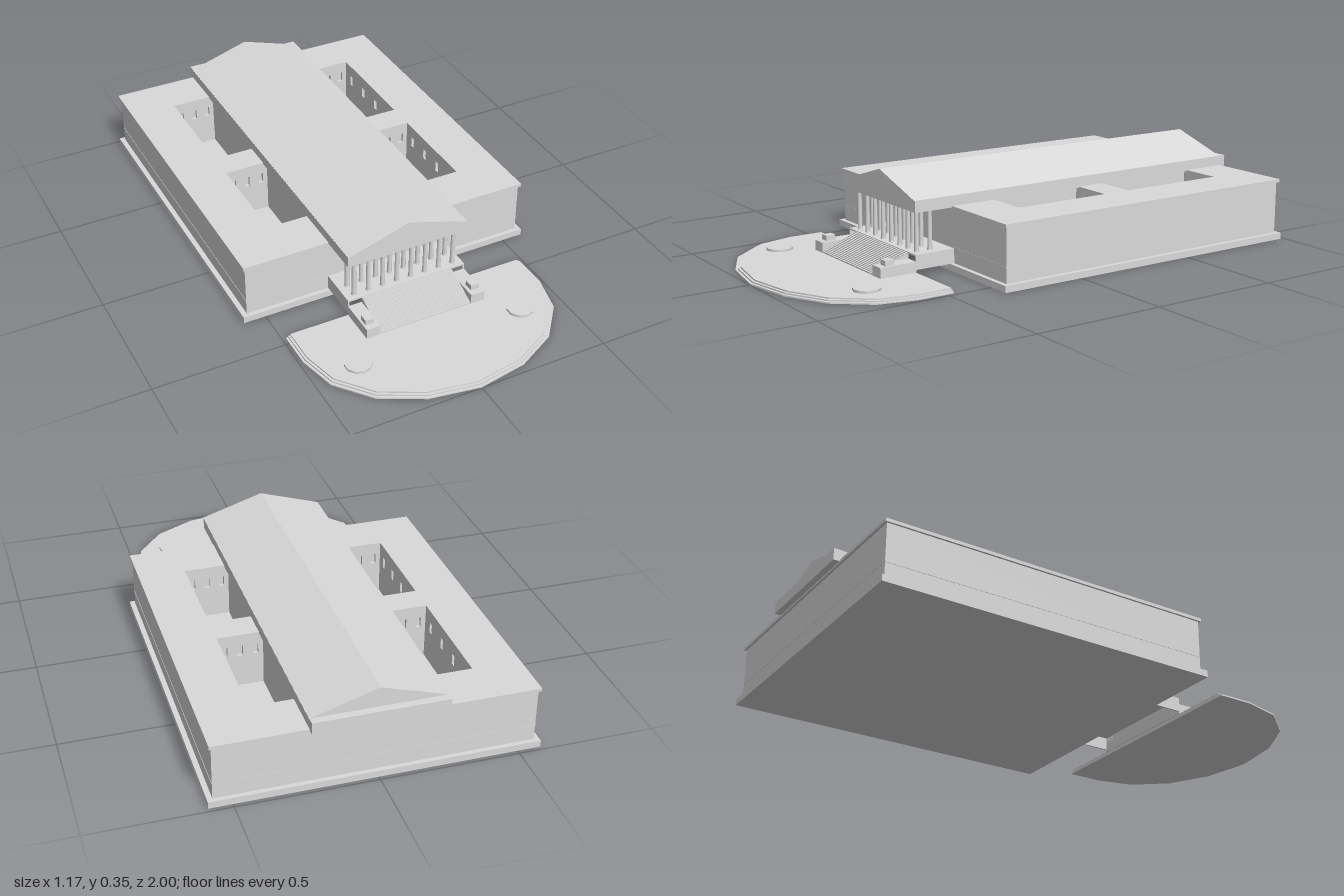
import * as THREE from 'three';

const stone = new THREE.MeshStandardMaterial({ color: 0xdadada });
stone.name = 'paleStone';

export function createModel() {
  const model = new THREE.Group();
  model.name = 'templeMuseum';

  const add = (name, geometry) => {
    const mesh = new THREE.Mesh(geometry, stone);
    mesh.name = name;
    model.add(mesh);
    return mesh;
  };
  // Box given by its limits on each axis
  const box = (name, x0, x1, y0, y1, z0, z1) => {
    const mesh = add(name, new THREE.BoxGeometry(x1 - x0, y1 - y0, z1 - z0));
    mesh.position.set((x0 + x1) / 2, (y0 + y1) / 2, (z0 + z1) / 2);
    return mesh;
  };
  const rect = (Kind, x0, x1, y0, y1) => new Kind([
    [x0, y0], [x1, y0], [x1, y1], [x0, y1],
  ].map(([x, y]) => new THREE.Vector2(x, y)));
  const extrude = (shape, depth) => new THREE.ExtrudeGeometry(shape, { depth, bevelEnabled: false });
  // Plan outline (drawn with y = -z) raised from y0 to y1
  const raise = (name, shape, y0, y1) => {
    const geometry = extrude(shape, y1 - y0);
    geometry.rotateX(-Math.PI / 2);
    geometry.translate(0, y0, 0);
    return add(name, geometry);
  };

  // Main block with four open courtyards; 'lining' leaves room for window walls
  const inner = 0.225, outer = 0.395, thick = 0.012;
  const courts = [[-0.798, -0.364], [-0.253, 0.137]];
  const block = (name, halfWidth, z0, z1, y0, y1, lining) => {
    const shape = rect(THREE.Shape, -halfWidth, halfWidth, -z1, -z0);
    for (const [a, b] of courts) {
      const back = -b - lining, front = -a + lining;
      shape.holes.push(rect(THREE.Path, inner, outer + lining, back, front));
      shape.holes.push(rect(THREE.Path, -outer - lining, -inner, back, front));
    }
    raise(name, shape, y0, y1);
  };
  box('plinth', -0.584, 0.584, 0, 0.025, -0.985, 0.327);
  block('walls', 0.565, -0.968, 0.31, 0.025, 0.225, thick);
  block('cornice', 0.573, -0.977, 0.318, 0.225, 0.237, 0);

  // Courtyard walls with recessed windows
  const windowWall = (width, count, x, z, angle) => {
    const shape = rect(THREE.Shape, -width / 2, width / 2, 0.025, 0.225);
    for (let i = 0; i < count; i++) {
      const c = width * ((i + 0.5) / count - 0.5);
      shape.holes.push(rect(THREE.Path, c - 0.01, c + 0.01, 0.15, 0.19));
    }
    const wall = add('courtyardWindowWall', extrude(shape, thick));
    wall.position.set(x, 0, z);
    wall.rotation.y = angle;
  };
  for (const [a, b] of courts) {
    for (const s of [-1, 1]) {
      const mid = s * (inner + outer) / 2;
      windowWall(b - a, 4, s * (outer + thick), (a + b) / 2, -s * Math.PI / 2);
      windowWall(outer - inner, 3, mid, a - thick, 0);
      windowWall(outer - inner, 3, mid, b + thick, Math.PI);
    }
  }

  // Very thin string course round the outside
  for (const s of [-1, 1]) {
    box('sideStringCourse', s * 0.565 - 0.0015, s * 0.565 + 0.0015, 0.081, 0.085, -0.968, 0.31);
    box('frontStringCourse', s * 0.4025 - 0.1625, s * 0.4025 + 0.1625, 0.081, 0.085, 0.309, 0.311);
  }
  box('backStringCourse', -0.565, 0.565, 0.081, 0.085, -0.969, -0.967);

  // Long entablature and gabled roof
  box('entablature', -0.24, 0.24, 0.232, 0.276, -1, 0.472);
  const gable = new THREE.Shape([
    new THREE.Vector2(-0.241, 0.275), new THREE.Vector2(0.241, 0.275), new THREE.Vector2(0, 0.35),
  ]);
  const roof = extrude(gable, 1.447);
  roof.translate(0, 0, -0.972);
  add('gabledRoof', roof);

  // Portico floor, hollow underneath, and two rows of columns
  box('porticoFloor', -0.24, 0.24, 0.074, 0.08, 0.31, 0.472);
  for (const s of [-1, 1]) {
    box('porticoSide', s * 0.237 - 0.003, s * 0.237 + 0.003, 0.025, 0.074, 0.31, 0.472);
  }
  const shaft = new THREE.LatheGeometry([
    [0.0105, 0], [0.0105, 0.003], [0.009, 0.005], [0.0078, 0.145], [0.0105, 0.149], [0.0105, 0.152],
  ].map(([x, y]) => new THREE.Vector2(x, y)), 10);
  for (const z of [0.445, 0.39]) {
    for (let i = 0; i < 8; i++) {
      add('column', shaft).position.set((i - 3.5) * 0.058, 0.08, z);
    }
  }

  // Broad flight of fine steps
  const steps = 20;
  for (let i = 0; i < steps; i++) {
    const top = 0.021 + 0.059 * i / steps;
    box('step', -0.185, 0.185, 0.015, top, 0.469, 0.615 - 0.143 * i / steps);
  }

  // Stair cheeks with pedestals
  for (const s of [-1, 1]) {
    box('stairCheek', s * 0.2125 - 0.0275, s * 0.2125 + 0.0275, 0.015, 0.055, 0.47, 0.617);
    box('pedestal', s * 0.215 - 0.017, s * 0.215 + 0.017, 0.055, 0.075, 0.555, 0.592);
  }

  // Rounded plaza in three very shallow tiers, with round basins
  const half = [[0.487, 0.472], [0.487, 0.612], [0.452, 0.757], [0.347, 0.885], [0.19, 0.967]];
  const outline = [...half, [0, 1], ...half.map(([x, z]) => [-x, z]).reverse()];
  for (let i = 0; i < 3; i++) {
    const k = 1 - 0.018 * i;
    const points = outline.map(([x, z]) => new THREE.Vector2(x * k, -(0.472 + (z - 0.472) * k)));
    raise('plazaTier', new THREE.Shape(points), i * 0.0053, (i + 1) * 0.0053);
  }
  for (const s of [-1, 1]) {
    add('basin', new THREE.CylinderGeometry(0.05, 0.05, 0.01, 10)).position.set(s * 0.328, 0.02, 0.722);
  }

  return model;
}
